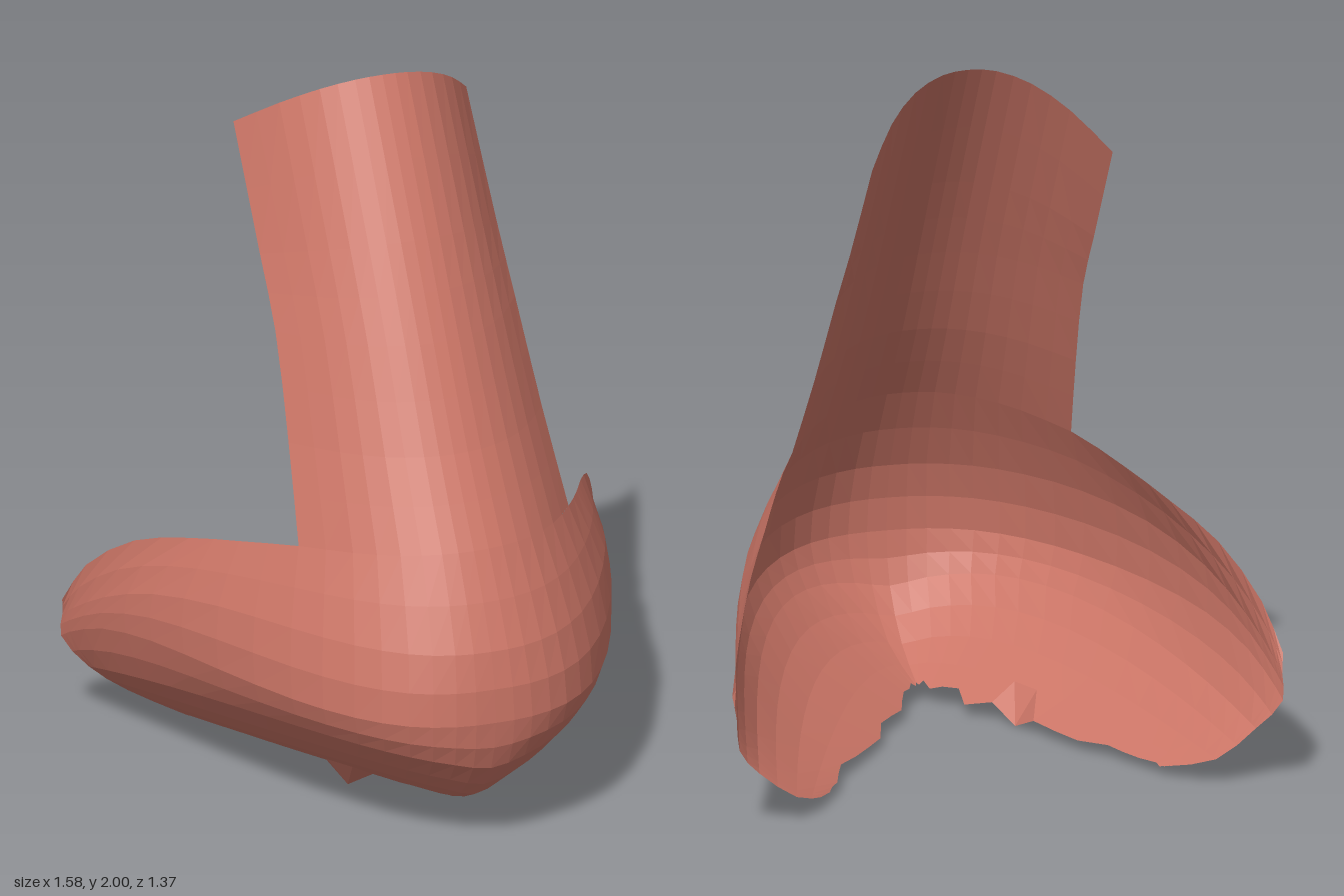
import * as THREE from 'three';

// Column positions from the centre line (0) to the back of a nostril wing (1)
const COLUMNS = [0, .13, .28, .43, .58, .73, .85, .93, .98, 1];
const BRIDGE_END = 4;

// Bridge arches: ridge [y, z] on the centre line and the side edge [x, y, z]
const ARCHES = [
  { ridge: [2, -.2], side: [.345, 1.81, -.455] },
  { ridge: [1.6, .05], side: [.35, 1.5, -.235] },
  { ridge: [1.35, .2], side: [.355, 1.32, -.1] },
  { ridge: [1.08, .36], side: [.375, 1.05, .055] },
  { ridge: [.85, .515], side: [.4, .8, .2] },
];

// Upper edge of a wing, behind the bridge
const WING_EDGE = [[.5, .75, 0], [.58, .7, -.18], [.67, .63, -.37], [.75, .5, -.54], [.79, .37, -.62]];

// Rails below: front [y, z], back [x, y, z], easing power of x, y and z, and a rise at mid-length
const RAILS = [
  { front: [.6, .65], back: [.785, .31, -.65], ease: [1, 8, 2.35], rise: 0 },
  { front: [.4, .685], back: [.785, .23, -.68], ease: [.95, 14, 2.45], rise: 0 },
  { front: [.25, .65], back: [.72, .15, -.65], ease: [.95, 6, 2.35], rise: .05 },
  { front: [.12, .52], back: [.61, .07, -.64], ease: [1, 2, 2], rise: .05 },
  { front: [.05, .36], back: [.5, .03, -.53], ease: [1.9, 1, 2], rise: 0 },
];

const { lerp } = THREE.MathUtils;

function archRow({ ridge, side }) {
  return COLUMNS.slice(0, BRIDGE_END + 1).map((c) => {
    const f = c / COLUMNS[BRIDGE_END];
    const bend = f ** 2.2;
    return new THREE.Vector3(side[0] * f, lerp(ridge[0], side[1], bend), lerp(ridge[1], side[2], bend));
  });
}

function railRow({ front, back, ease, rise }) {
  return COLUMNS.map((f) => new THREE.Vector3(
    back[0] * f ** ease[0],
    lerp(front[0], back[1], f ** ease[1]) + rise * Math.sin(Math.PI * f),
    lerp(front[1], back[2], f ** ease[2]),
  ));
}

// Add the mirrored right half in front of a left half row
function mirror(row) {
  const right = row.slice(1).reverse().map((p) => new THREE.Vector3(-p.x, p.y, p.z));
  return [...right, ...row];
}

// Two smooth steps per span
function refine(points) {
  return new THREE.CatmullRomCurve3(points).getPoints((points.length - 1) * 2);
}

function refineGrid(rows) {
  const wide = rows.map(refine);
  const columns = wide[0].map((_, c) => refine(wide.map((row) => row[c])));
  return columns[0].map((_, r) => columns.map((column) => column[r]));
}

function skin(rows) {
  const w = rows[0].length;
  const index = [];
  for (let r = 0; r < rows.length - 1; r++) {
    for (let c = 0; c < w - 1; c++) {
      const a = r * w + c, b = a + w;
      index.push(a, b, a + 1, b, b + 1, a + 1);
    }
  }
  const geometry = new THREE.BufferGeometry().setFromPoints(rows.flat());
  geometry.setIndex(index);
  geometry.computeVertexNormals();
  return geometry;
}

export function createModel() {
  const group = new THREE.Group();
  group.name = 'nose';
  const material = new THREE.MeshStandardMaterial({ color: 0xcb7566, flatShading: true, side: THREE.DoubleSide });
  material.name = 'skin';

  // Arched bridge
  const arches = ARCHES.map(archRow);
  const bridge = new THREE.Mesh(skin(refineGrid(arches.map(mirror))), material);
  bridge.name = 'bridge';

  // Tip, wings and curled underside
  const topRow = [...arches[arches.length - 1], ...WING_EDGE.map((p) => new THREE.Vector3(...p))];
  const keyRows = [topRow, ...RAILS.map(railRow)].map(mirror);

  // The right wing is torn off shorter towards its underside
  keyRows.forEach((row, r) => row[0].lerp(row[1], r * .18));
  const rows = refineGrid(keyRows);

  // Ragged inner edge of the underside, lowest just right of the centre
  const edge = rows[rows.length - 1];
  const inside = rows[rows.length - 2];
  edge.forEach((p, i) => {
    const wave = Math.sin(i * 12.9898) * 43758.5453;
    p.lerp(inside[i], (wave - Math.floor(wave)) * .5 - .2);
    p.y = Math.max(p.y, .02);
  });
  edge[(edge.length - 1) / 2 - 8].y = 0;

  const base = new THREE.Mesh(skin(rows), material);
  base.name = 'tipAndNostrilWings';

  group.add(bridge, base);
  return group;
}
